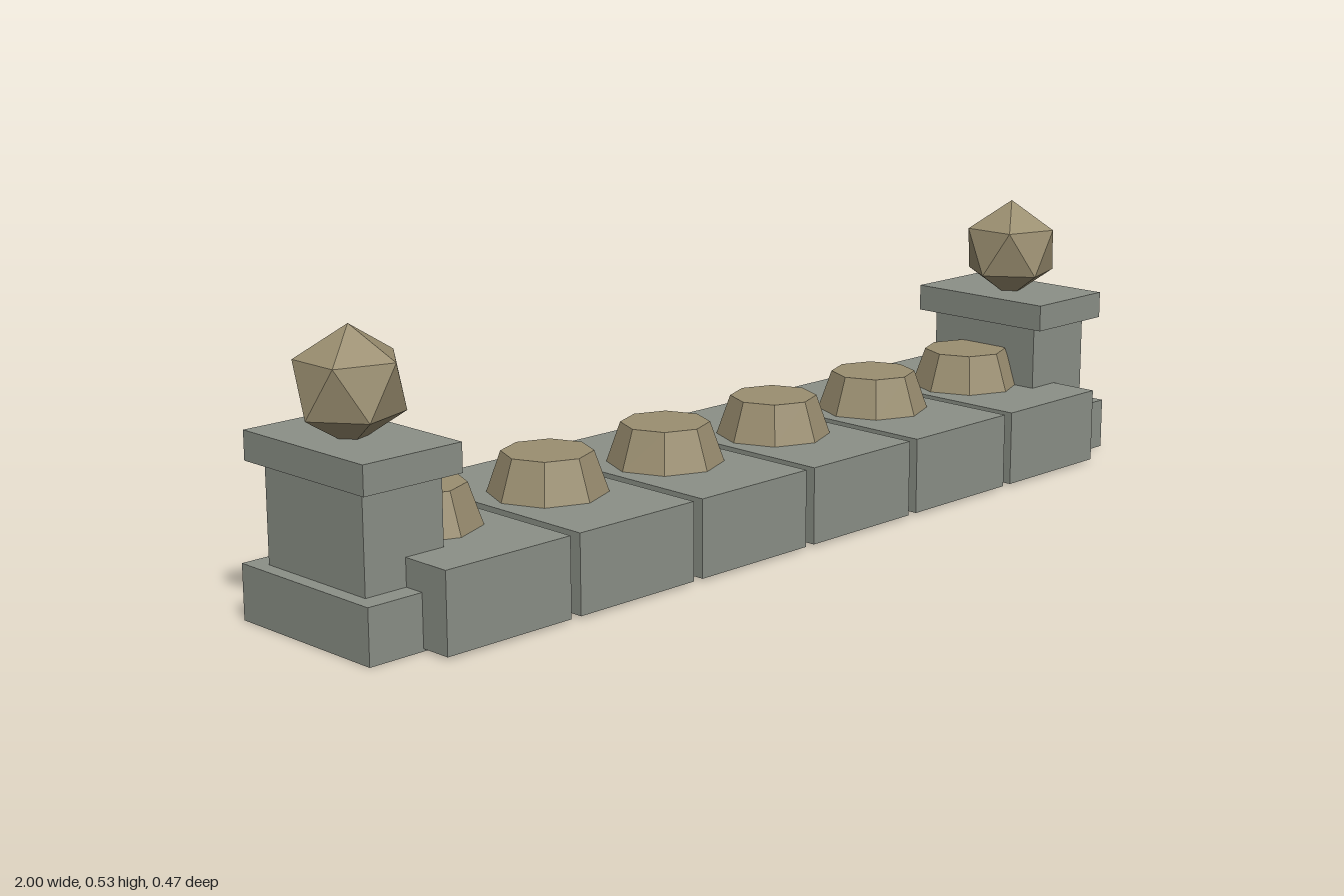
import * as THREE from 'three';

export function createModel() {
  const group = new THREE.Group();
  const stone = new THREE.MeshStandardMaterial({ color: 0x8b9087 });
  stone.name = 'greyStone';
  const sand = new THREE.MeshStandardMaterial({ color: 0x9a8e70 });
  sand.name = 'sandStone';

  const add = (parent, name, geometry, material, x, y, z = 0) => {
    const mesh = new THREE.Mesh(geometry, material);
    mesh.name = name;
    mesh.position.set(x, y, z);
    parent.add(mesh);
    return mesh;
  };
  // Box standing on height y0
  const block = (parent, name, w, y0, y1, d, x) =>
    add(parent, name, new THREE.BoxGeometry(w, y1 - y0, d), stone, x, (y0 + y1) / 2);

  // Eight-sided tapered stud, flat faces
  const studGeometry = new THREE.CylinderGeometry(0.085, 0.112, 0.077, 8).toNonIndexed();
  studGeometry.computeVertexNormals();

  // Row of wall blocks, each with a stud on top
  for (let i = 0; i < 6; i++) {
    const x = -0.004 + (i - 2.5) * 0.298;
    const section = new THREE.Group();
    section.name = `wallSection${i + 1}`;
    block(section, 'wallBlock', 0.276, 0.005, 0.155, 0.473, x);
    add(section, 'stud', studGeometry, sand, x, 0.1935);
    group.add(section);
  }

  // Faceted ball with one corner pointing straight up
  const ballGeometry = new THREE.IcosahedronGeometry(0.1055, 0);
  ballGeometry.rotateZ(-Math.atan(2 / (1 + Math.sqrt(5))));

  // End piers: base, shaft, cap and ball
  for (const [side, name] of [[-1, 'rightPier'], [1, 'leftPier']]) {
    const pier = new THREE.Group();
    pier.name = name;
    pier.position.x = side * 0.889;
    block(pier, 'pierBase', 0.222, 0, 0.103, 0.348, 0);
    block(pier, 'pierShaft', 0.168, 0.103, 0.286, 0.266, 0);
    block(pier, 'pierCap', 0.208, 0.286, 0.34, 0.327, 0);
    add(pier, 'pierBall', ballGeometry, sand, 0, 0.4278);
    group.add(pier);
  }
  return group;
}
